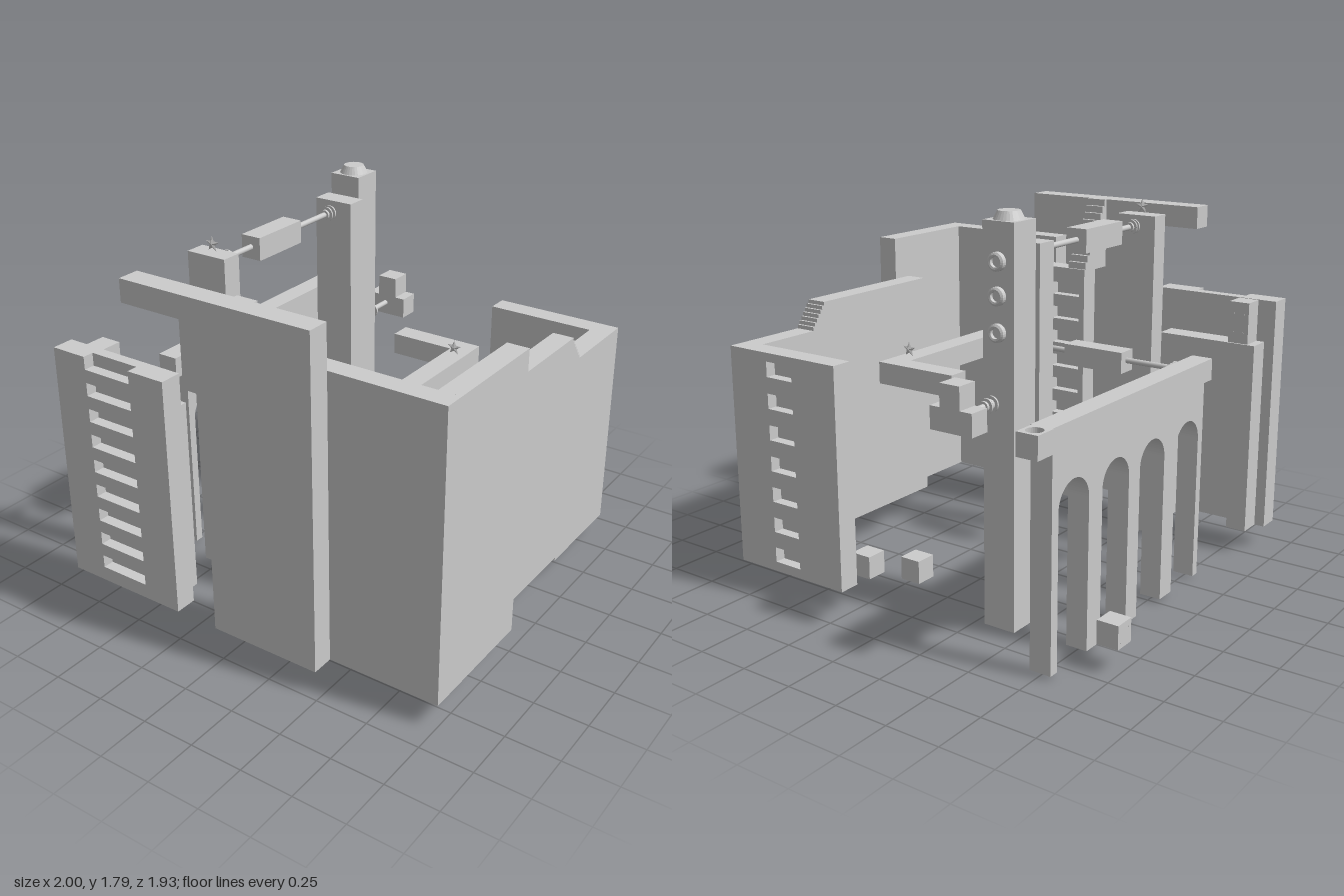
import * as THREE from 'three';

const grey = new THREE.MeshStandardMaterial({ color: 0xcccccc, flatShading: true });
const smooth = new THREE.MeshStandardMaterial({ color: 0xcccccc });

export function createModel() {
  const root = new THREE.Group();

  const add = (name, geo, mat = grey, parent = root) => {
    const m = new THREE.Mesh(geo, mat);
    m.name = name;
    parent.add(m);
    return m;
  };
  // Box given by its limits on each axis
  const box = (name, x0, x1, y0, y1, z0, z1, parent = root) => {
    const g = new THREE.BoxGeometry(x1 - x0, y1 - y0, z1 - z0);
    g.translate((x0 + x1) / 2, (y0 + y1) / 2, (z0 + z1) / 2);
    return add(name, g, grey, parent);
  };
  const group = (name) => {
    const g = new THREE.Group();
    g.name = name;
    root.add(g);
    return g;
  };
  const polygon = (pts) => new THREE.Shape(pts.map((p) => new THREE.Vector2(...p)));
  const extrude = (shape, depth) =>
    new THREE.ExtrudeGeometry(shape, { depth, bevelEnabled: false, curveSegments: 16 });
  // Outline of an arched opening from the floor, cut into a wall's lower edge (travels +a)
  const archCut = (shape, a0, a1, floor, spring) => {
    const r = (a1 - a0) / 2;
    shape.lineTo(a0, floor);
    shape.lineTo(a0, spring);
    shape.absarc((a0 + a1) / 2, spring, r, Math.PI, 0, true);
    shape.lineTo(a1, floor);
  };
  // Wall with a column of recessed slots; dir is the z side the slots open to
  const slottedWall = (name, x0, x1, y0, y1, z0, z1, s0, s1, first, step, h, n, dir) => {
    const g = group(name);
    const mid = (z0 + z1) / 2;
    const [f0, f1, b0, b1] = dir > 0 ? [mid, z1, z0, mid] : [z0, mid, mid, z1];
    box('backing', x0, x1, y0, y1, b0, b1, g);
    box('slotSide', x0, s0, y0, y1, f0, f1, g);
    box('slotSide', s1, x1, y0, y1, f0, f1, g);
    let low = y0;
    for (let i = 0; i <= n; i++) {
      const high = i < n ? first + i * step : y1;
      if (high - low > 0.004) box('slotBar', s0, s1, low, high, f0, f1, g);
      low = high + h;
    }
  };
  // Steps climbing from (zLow, yLow) to (zHigh, yHigh)
  const stairs = (name, x0, x1, zLow, zHigh, yLow, yHigh, n) => {
    const g = group(name);
    const dz = (zHigh - zLow) / n, dy = (yHigh - yLow) / n;
    for (let i = 0; i < n; i++) {
      const a = zLow + i * dz, b = a + dz;
      box('step', x0, x1, yLow - 0.01, yLow + (i + 1) * dy, Math.min(a, b), Math.max(a, b), g);
    }
  };
  // Five-pointed star, thick in the middle and sharp at the rim
  const star = (x, y, z, turn = 0) => {
    const pos = [];
    const p = (i) => {
      const r = i % 2 ? 0.016 : 0.036, a = Math.PI / 2 + (i * Math.PI) / 5;
      return [r * Math.cos(a), r * Math.sin(a), 0];
    };
    for (let i = 0; i < 10; i++) {
      pos.push(...p(i), ...p(i + 1), 0, 0, 0.009);
      pos.push(...p(i + 1), ...p(i), 0, 0, -0.009);
    }
    const g = new THREE.BufferGeometry();
    g.setAttribute('position', new THREE.Float32BufferAttribute(pos, 3));
    g.computeVertexNormals();
    g.rotateY(turn);
    add('star', g).position.set(x, y, z);
  };
  // Round rod between two points, with pairs of flanges at given fractions
  const rod = (name, from, to, flanges) => {
    const a = new THREE.Vector3(...from), b = new THREE.Vector3(...to);
    const g = group(name);
    const len = a.distanceTo(b);
    add('shaft', new THREE.CylinderGeometry(0.013, 0.013, len, 16), smooth, g);
    for (const [t, s] of flanges) {
      add('flange', new THREE.CylinderGeometry(0.034, 0.034, 0.008, 20), smooth, g).position.y = (t - 0.5) * len;
      add('collar', new THREE.CylinderGeometry(0.023, 0.023, 0.012, 20), smooth, g).position.y = (t - 0.5) * len + s * 0.014;
    }
    g.position.copy(a).lerp(b, 0.5);
    g.quaternion.setFromUnitVectors(new THREE.Vector3(0, 1, 0), b.clone().sub(a).normalize());
  };

  // Front facade: slotted panel on one side, stepped wall with overhanging beam on the other
  slottedWall('frontSlottedPanel', -0.91, -0.285, 0.11, 1.24, 0.86, 0.965, -0.73, -0.475, 0.18, 0.125, 0.063, 9, 1);
  const facade = polygon([[-0.07, 0.11], [0.47, 0.11], [0.47, 1.65], [-0.48, 1.65],
    [-0.48, 1.545], [-0.17, 1.545], [-0.17, 1.24], [-0.07, 1.24]]);
  add('frontWall', extrude(facade, 0.105)).position.z = 0.86;

  // Arched panel behind the slotted one, with a block on top
  const door = new THREE.Shape();
  door.moveTo(-0.86, 0.11);
  archCut(door, -0.76, -0.46, 0.11, 0.78);
  door.lineTo(-0.36, 0.11);
  door.lineTo(-0.36, 1.04);
  door.lineTo(-0.86, 1.04);
  add('archedPanel', extrude(door, 0.11)).position.z = 0.75;
  box('topBlock', -0.82, -0.72, 1.04, 1.238, 0.76, 0.86);

  // Corner wall
  box('cornerWallFront', 0.27, 1, 0.11, 1.45, 0.765, 0.86);
  box('cornerWallSide', 0.9, 1, 0.11, 1.45, 0.24, 0.765);

  // Inner slotted panel with stairs up to the front wall
  slottedWall('innerSlottedPanel', 0.03, 0.37, 0.11, 1.32, 0.66, 0.76, 0.06, 0.22, 0.18, 0.125, 0.063, 9, -1);
  stairs('frontStairs', 0.03, 0.13, 0.67, 0.86, 1.32, 1.65, 10);
  star(0.415, 1.39, 0.725, Math.PI / 2);

  // Side and back walls, joined by steps along the top
  box('sideWall', 0.8, 0.9, 0.11, 1.245, -0.38, 0.34);
  box('sideWallLow', 0.8, 0.9, 0.095, 1.12, -0.79, -0.38);
  stairs('sideStairs', 0.8, 0.9, -0.47, -0.38, 1.12, 1.245, 7);
  slottedWall('backSlottedWall', 0.28, 0.9, 0.095, 1.12, -0.89, -0.79, 0.53, 0.68, 0.14, 0.145, 0.07, 7, -1);

  // Floating L-shaped beam
  box('innerBeamLong', 0.28, 0.38, 0.94, 1.04, -0.39, 0.43);
  box('innerBeamShort', -0.03, 0.38, 0.94, 1.04, -0.49, -0.39);
  star(0.33, 1.075, -0.34);

  // Arcade wall: four arches on five legs
  const arcade = new THREE.Shape();
  arcade.moveTo(-0.865, 0.015);
  for (const [a, b] of [[-0.82, -0.6], [-0.5, -0.29], [-0.2, 0.01], [0.11, 0.32]]) archCut(arcade, a, b, 0.015, 0.69);
  arcade.lineTo(0.36, 0.015);
  arcade.lineTo(0.36, 0.94);
  arcade.lineTo(0.43, 0.94);
  arcade.lineTo(0.43, 1.04);
  arcade.lineTo(-0.865, 1.04);
  const arcadeGeo = extrude(arcade, 0.1);
  arcadeGeo.rotateY(-Math.PI / 2);
  add('arcadeWall', arcadeGeo).position.x = -0.705;

  // End block with a round socket in its top
  box('endBlock', -0.81, -0.71, 0.94, 1.01, -0.97, -0.865);
  const socket = polygon([[-0.05, -0.0525], [0.05, -0.0525], [0.05, 0.0525], [-0.05, 0.0525]]);
  socket.holes.push(new THREE.Path().absarc(0, 0, 0.037, 0, Math.PI * 2, true));
  const socketGeo = extrude(socket, 0.03);
  socketGeo.rotateX(-Math.PI / 2);
  add('endBlockSocket', socketGeo).position.set(-0.76, 1.01, -0.9175);

  // Pillars and tower
  box('frontPillar', -0.47, -0.27, 0.11, 1.65, 0.465, 0.56);
  star(-0.375, 1.685, 0.51);
  box('rearPillar', -0.47, -0.27, 0.11, 1.65, -0.465, -0.365);
  box('tower', -0.45, -0.295, 0, 1.75, -0.615, -0.465);
  const cap = add('towerCap', new THREE.CylinderGeometry(0.047, 0.066, 0.036, 28));
  cap.position.set(-0.372, 1.768, -0.54);

  // Round ports on the back of the tower
  const portProfile = [[0, 0.008], [0.022, 0.008], [0.022, 0.024], [0.03, 0.026], [0.039, 0.02], [0.039, 0]]
    .map((p) => new THREE.Vector2(...p)).reverse();
  for (const y of [1.3, 1.45, 1.59]) {
    const g = new THREE.LatheGeometry(portProfile, 24);
    g.rotateX(-Math.PI / 2);
    add('towerPort', g, new THREE.MeshStandardMaterial({ color: 0xcccccc, flatShading: true, side: THREE.DoubleSide }))
      .position.set(-0.372, y, -0.615);
  }

  // Connecting rods with their sliding blocks
  rod('upperRod', [-0.37, 1.6, 0.47], [-0.37, 1.6, -0.37], [[0.035, 1], [0.06, 1], [0.93, -1], [0.96, -1]]);
  box('upperRodBlock', -0.42, -0.32, 1.545, 1.65, -0.04, 0.26);
  rod('crossRod', [-0.71, 1, 0.31], [0.285, 1, 0.31], [[0.03, 1], [0.97, -1]]);
  box('crossRodBlock', -0.43, -0.12, 0.945, 1.045, 0.26, 0.36);
  rod('backRod', [-0.345, 1, -0.61], [-0.345, 1, -0.8], [[0.08, 1], [0.28, 1]]);
  box('backBlock', -0.445, -0.235, 0.94, 1.04, -0.89, -0.79);
  box('backBlockTop', -0.385, -0.285, 1.04, 1.14, -0.89, -0.79);

  // Loose cubes
  for (const [x, z] of [[-0.95, -0.63], [0.09, -0.6], [0.3, -0.69]])
    box('cube', x - 0.05, x + 0.05, 0.11, 0.215, z - 0.05, z + 0.05);

  // Small studs on the cubes and blocks
  const stud = (x, y, z, axis) => {
    const g = new THREE.CylinderGeometry(0.005, 0.005, 0.004, 10);
    if (axis === 'x') g.rotateZ(Math.PI / 2);
    else g.rotateX(Math.PI / 2);
    add('stud', g).position.set(x, y, z);
  };
  for (const s of [-1, 1]) {
    stud(-1, 0.16 + s * 0.025, -0.63 + s * 0.03, 'x');
    stud(0.14, 0.16 + s * 0.025, -0.6 + s * 0.03, 'x');
    for (const y of [1.09, 1.18]) stud(-0.77 + s * 0.025, y, 0.76, 'z');
  }
  return root;
}
